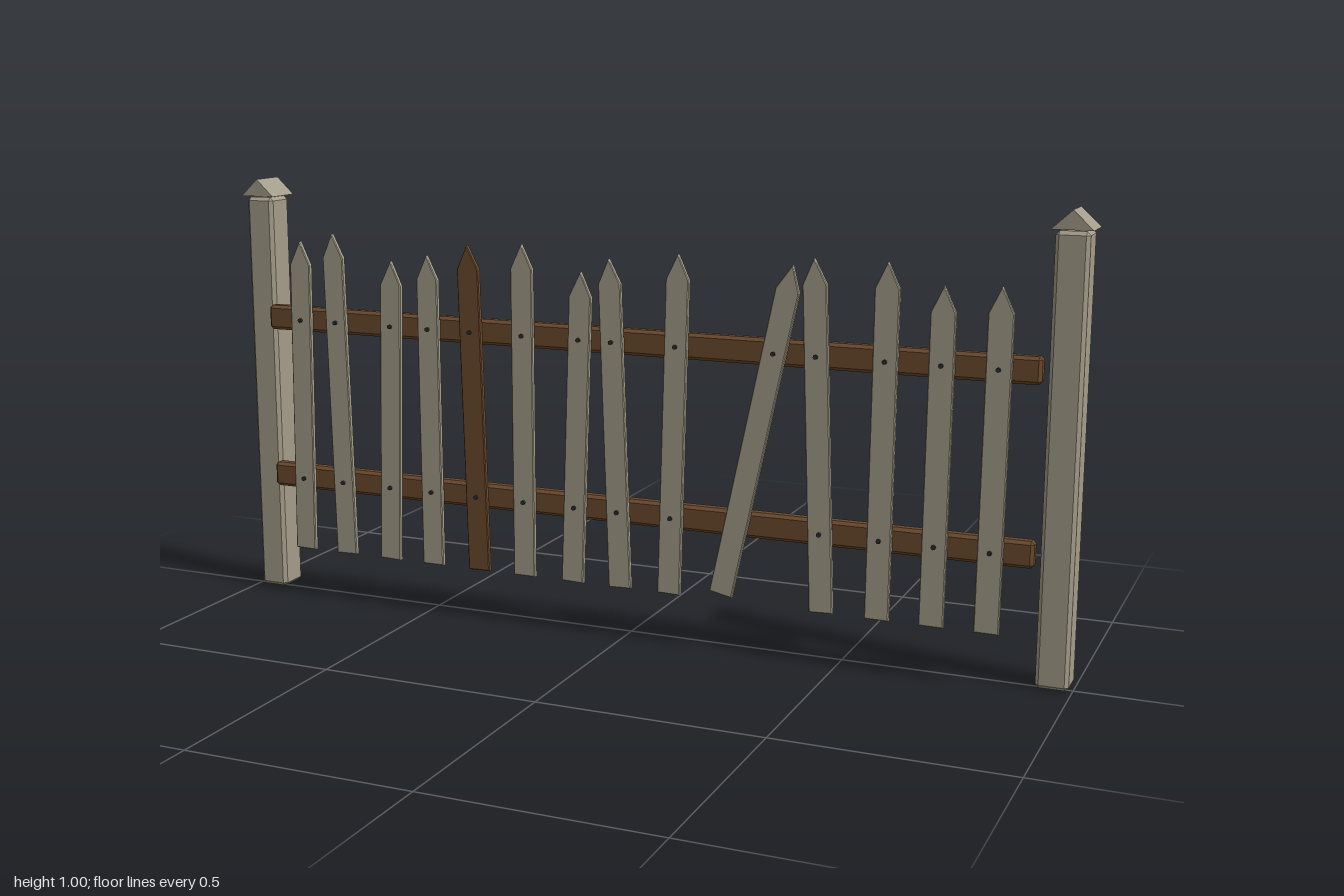
import * as THREE from 'three';
import { ConvexGeometry } from 'three/addons/geometries/ConvexGeometry.js';

const mat = (name, color) => Object.assign(new THREE.MeshStandardMaterial({ color }), { name });

// Box with every edge chamfered by c: the hull of three slightly inset corners per corner
function chamferBox(w, h, d, c) {
  const points = [];
  for (const x of [-1, 1]) for (const y of [-1, 1]) for (const z of [-1, 1]) {
    const [X, Y, Z] = [x * w / 2, y * h / 2, z * d / 2];
    points.push(
      new THREE.Vector3(X, Y - y * c, Z - z * c),
      new THREE.Vector3(X - x * c, Y, Z - z * c),
      new THREE.Vector3(X - x * c, Y - y * c, Z)
    );
  }
  return new ConvexGeometry(points);
}

// Outline in the xy plane, extruded along z and centred on z = 0
function slab(corners, depth, bevel = 0) {
  const shape = new THREE.Shape(corners.map(([x, y]) => new THREE.Vector2(x, y)));
  const geo = new THREE.ExtrudeGeometry(shape, {
    depth: depth - 2 * bevel, bevelEnabled: bevel > 0, bevelSize: bevel,
    bevelThickness: bevel, bevelOffset: -bevel, bevelSegments: 1
  });
  return geo.translate(0, 0, -(depth - 2 * bevel) / 2);
}

export function createModel() {
  const fence = new THREE.Group();
  fence.name = 'picketFence';
  const paleWood = mat('paleWood', 0xa59d8a);
  const brownWood = mat('brownWood', 0x6b4a2d);
  const nailMetal = mat('nailMetal', 0x2e2e2e);

  const add = (name, geo, material, x, y, z, parent = fence) => {
    const mesh = new THREE.Mesh(geo, material);
    mesh.name = name;
    mesh.position.set(x, y, z);
    parent.add(mesh);
    return mesh;
  };

  // Posts with gabled caps
  const postGeo = chamferBox(0.07, 0.957, 0.074, 0.008);
  const capGeo = slab([[-0.043, 0], [0.043, 0], [0, 0.04]], 0.088);
  for (const [side, s] of [['left', 1], ['right', -1]]) {
    add(side + 'Post', postGeo, paleWood, s * 0.957, 0.4785, -0.021);
    add(side + 'PostCap', capGeo, paleWood, s * 0.957, 0.96, -0.022);
  }

  // Horizontal rails
  const railHeights = [0.294, 0.677];
  const railGeo = chamferBox(1.834, 0.058, 0.031, 0.007);
  railHeights.forEach((y, i) =>
    add(i ? 'upperRail' : 'lowerRail', railGeo, brownWood, -0.002, y, 0.033));

  // Pickets: bottom x, bottom y, tip x, tip y
  const pickets = [
    [-0.829, 0.12, -0.818, 0.863], [-0.714, 0.12, -0.73, 0.884],
    [-0.594, 0.12, -0.575, 0.828], [-0.479, 0.12, -0.481, 0.846],
    [-0.358, 0.12, -0.377, 0.874], [-0.241, 0.12, -0.241, 0.882],
    [-0.12, 0.12, -0.096, 0.828], [-0.003, 0.12, -0.029, 0.86],
    [0.115, 0.12, 0.134, 0.878], [0.238, 0.134, 0.392, 0.867],
    [0.468, 0.12, 0.438, 0.884], [0.591, 0.12, 0.596, 0.884],
    [0.709, 0.12, 0.714, 0.841], [0.826, 0.12, 0.832, 0.846]
  ];
  const darkPicket = 4, loosePicket = 9;
  const nailGeo = new THREE.CylinderGeometry(0.005, 0.005, 0.008, 8).rotateX(Math.PI / 2);
  const w = 0.0265;

  pickets.forEach(([x0, y0, x1, y1], i) => {
    const group = new THREE.Group();
    group.name = 'picket' + (i + 1);
    fence.add(group);
    const len = Math.hypot(x1 - x0, y1 - y0);
    const outline = [[-w, 0], [w, 0], [w, len - 0.055], [0, len], [-w, len - 0.055]];
    const board = add('board', slab(outline, 0.013, 0.002),
      i === darkPicket ? brownWood : paleWood, x0, y0, 0.0562, group);
    board.rotation.z = -Math.atan2(x1 - x0, y1 - y0);

    // One nail per rail; the loose picket hangs by its upper nail
    railHeights.forEach((y, r) => {
      if (i === loosePicket && r === 0) return;
      const x = x0 + (x1 - x0) * (y - y0) / (y1 - y0);
      add('nail', nailGeo, nailMetal, x, y, 0.0645, group);
    });
  });

  return fence;
}
